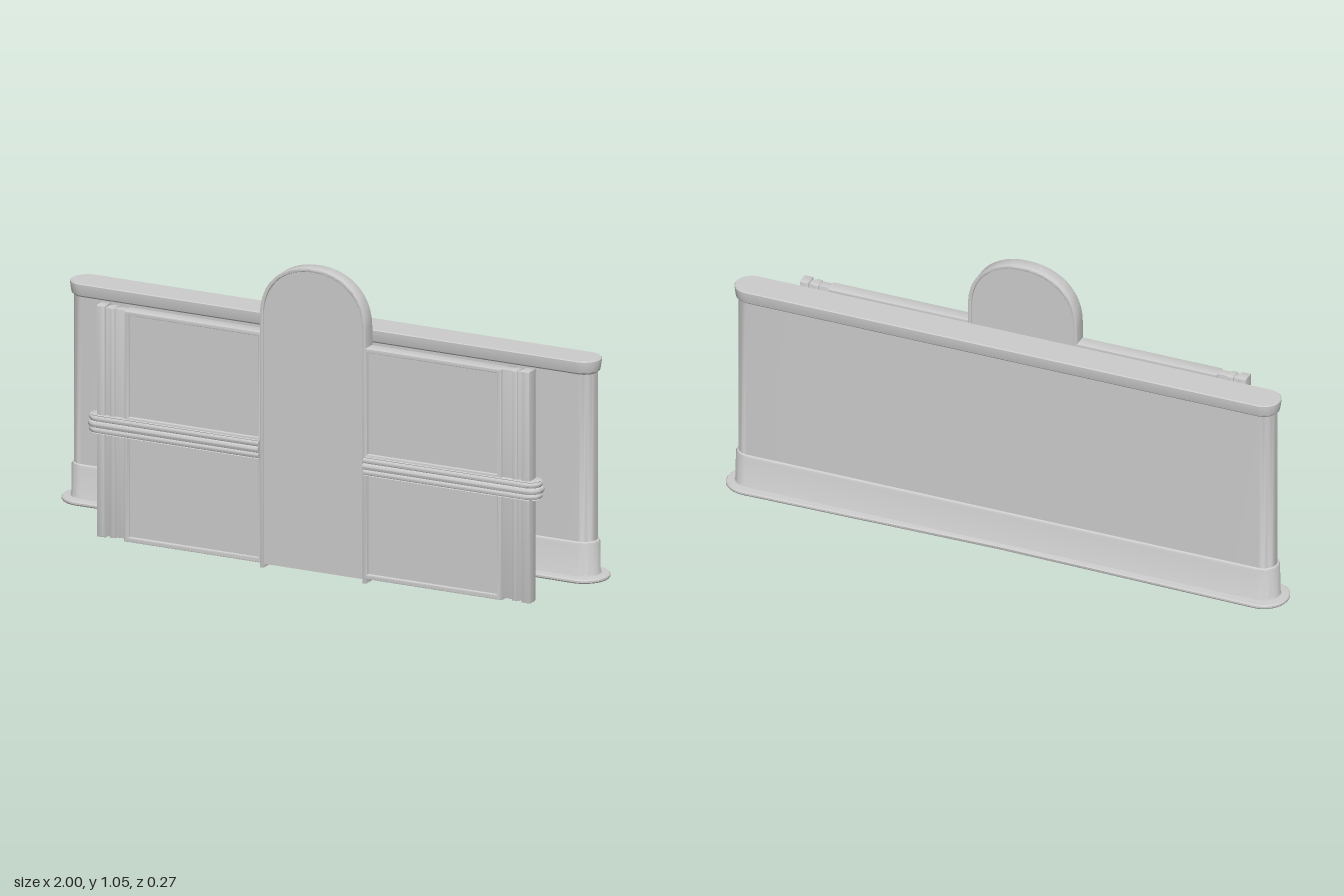
import * as THREE from 'three';
import { toCreasedNormals } from 'three/addons/utils/BufferGeometryUtils.js';

const mat = new THREE.MeshStandardMaterial({ color: 0xcccccc, side: THREE.DoubleSide });

function add(parent, name, geo, x = 0, y = 0, z = 0) {
  const mesh = new THREE.Mesh(geo, mat);
  mesh.name = name;
  mesh.position.set(x, y, z);
  parent.add(mesh);
  return mesh;
}

// Long oval outline: half length l, end radius r, waist narrowed by pinch
function oval(l, r, pinch = 0) {
  const pts = [];
  for (const side of [1, -1]) {
    for (let i = 0; i <= 16; i++) {
      const a = -Math.PI / 2 + (Math.PI * i) / 16;
      pts.push([side * (l + r * Math.cos(a)), side * r * Math.sin(a)]);
    }
    for (let i = 1; i < 10; i++) {
      const x = l * (1 - i / 5);
      pts.push([side * x, side * r * (1 - pinch * (1 - Math.abs(x) / l))]);
    }
  }
  return pts;
}

// Outline with a square inner end at x0 and a round outer end
function halfOval(x0, l, r) {
  const pts = [[x0, -r]];
  for (let i = 0; i <= 16; i++) {
    const a = -Math.PI / 2 + (Math.PI * i) / 16;
    pts.push([l + r * Math.cos(a), r * Math.sin(a)]);
  }
  pts.push([x0, r]);
  return pts;
}

// Skins a stack of outlines; profile rows are [radius, y, pinch]
function loft(profile, outline) {
  const pos = [], idx = [];
  let n = 0;
  for (const [r, y, pinch] of profile) {
    const ring = outline(r, pinch);
    n = ring.length;
    for (const [x, z] of ring) pos.push(x, y, z);
  }
  for (let j = 0; j < profile.length - 1; j++) {
    for (let i = 0; i < n; i++) {
      const k = (i + 1) % n, a = j * n, b = a + n;
      idx.push(a + i, b + i, a + k, a + k, b + i, b + k);
    }
  }
  const geo = new THREE.BufferGeometry();
  geo.setAttribute('position', new THREE.Float32BufferAttribute(pos, 3));
  geo.setIndex(idx);
  return toCreasedNormals(geo, 0.6);
}

function rect(path, x0, y0, x1, y1) {
  return path.moveTo(x0, y0).lineTo(x1, y0).lineTo(x1, y1).lineTo(x0, y1).closePath();
}

// Round-topped outline with slightly full shoulders
function arch(path, w, y0, top) {
  const s = 0.87, k = 0.6, h = top - s;
  path.moveTo(-w, y0).lineTo(w, y0).lineTo(w, s);
  path.bezierCurveTo(w, s + h * k, w * k, top, 0, top);
  path.bezierCurveTo(-w * k, top, -w, s + h * k, -w, s);
  return path.closePath();
}

// Extrusion centred on z = 0 with a small rounded edge
function slab(shape, depth, bevel = 0.005) {
  const geo = new THREE.ExtrudeGeometry(shape, {
    depth: depth - 2 * bevel, bevelEnabled: bevel > 0, bevelSize: bevel,
    bevelThickness: bevel, bevelOffset: -bevel, bevelSegments: 2, curveSegments: 20,
  });
  geo.translate(0, 0, bevel - depth / 2);
  return toCreasedNormals(geo, 0.6);
}

const bar = (x0, y0, x1, y1, depth, bevel) => slab(rect(new THREE.Shape(), x0, y0, x1, y1), depth, bevel);

function createWing() {
  const wing = new THREE.Group();
  // Frame with two openings and a thinner infill
  const frame = rect(new THREE.Shape(), 0.19, 0.018, 0.695, 0.81);
  frame.holes.push(rect(new THREE.Path(), 0.2, 0.035, 0.677, 0.385));
  frame.holes.push(rect(new THREE.Path(), 0.2, 0.447, 0.677, 0.795));
  add(wing, 'wingFrame', slab(frame, 0.052));
  add(wing, 'wingPanel', bar(0.185, 0.025, 0.69, 0.8, 0.03, 0));

  // Ribbed outer post
  add(wing, 'postCore', bar(0.685, 0.025, 0.785, 0.81, 0.032, 0.002));
  add(wing, 'postRib', bar(0.73, 0.022, 0.752, 0.812, 0.046, 0.006));
  add(wing, 'postEdge', bar(0.765, 0.02, 0.797, 0.815, 0.048, 0.006));

  // Three-ridged rail wrapping both faces
  const profile = [[0, 0.378], [0.037, 0.378]];
  for (const [y, r, h] of [[0.389, 0.041, 0.009], [0.409, 0.045, 0.01], [0.429, 0.041, 0.009]]) {
    for (let i = 0; i <= 6; i++) {
      const a = -Math.PI / 2 + (Math.PI * i) / 6;
      profile.push([r - 0.006 + 0.006 * Math.cos(a), y + h * Math.sin(a)]);
    }
  }
  profile.push([0.036, 0.44], [0, 0.44]);
  add(wing, 'rail', loft(profile, (r) => halfOval(0.193, 0.79, r)));
  return wing;
}

export function createModel() {
  const model = new THREE.Group();

  // Hollow rear wall with flared cap, skirt and foot flange
  const wall = [
    [0, 0.78], [0.04, 0.78], [0.042, 0.12], [0.05, 0.09], [0.055, 0.086],
    [0.083, 0.086, 0.17], [0.086, 0.09, 0.17], [0.086, 0.096, 0.17], [0.082, 0.1, 0.17],
    [0.057, 0.102], [0.054, 0.108], [0.053, 0.208], [0.05, 0.215], [0.045, 0.218],
    [0.045, 0.792], [0.048, 0.795], [0.052, 0.798], [0.054, 0.806],
    [0.058, 0.832], [0.058, 0.837], [0.055, 0.84], [0, 0.84],
  ];
  add(model, 'rearWall', loft(wall, (r, p) => oval(0.914, r, p)), 0, 0, -0.051);

  const front = new THREE.Group();
  front.name = 'frontScreen';
  front.position.z = 0.091;
  model.add(front);

  // Central arched panel inside a raised rim, open at the bottom
  const rim = new THREE.Shape();
  const w = 0.195, t = 0.013, s = 0.87, k = 0.6;
  rim.moveTo(w - t, 0.002).lineTo(w, 0.002).lineTo(w, s);
  rim.bezierCurveTo(w, s + 0.185 * k, w * k, 1.055, 0, 1.055);
  rim.bezierCurveTo(-w * k, 1.055, -w, s + 0.185 * k, -w, s);
  rim.lineTo(-w, 0.002).lineTo(t - w, 0.002).lineTo(t - w, s);
  rim.bezierCurveTo(t - w, s + 0.172 * k, (t - w) * k, 1.042, 0, 1.042);
  rim.bezierCurveTo((w - t) * k, 1.042, w - t, s + 0.172 * k, w - t, s);
  rim.closePath();
  add(front, 'archRim', slab(rim, 0.053, 0.004));
  add(front, 'archPanel', slab(arch(new THREE.Shape(), 0.187, 0.015, 1.048), 0.038, 0));

  // Matching wings
  for (const [name, turn] of [['leftWing', 0], ['rightWing', Math.PI]]) {
    const wing = createWing();
    wing.name = name;
    wing.rotation.y = turn;
    front.add(wing);
  }
  return model;
}
